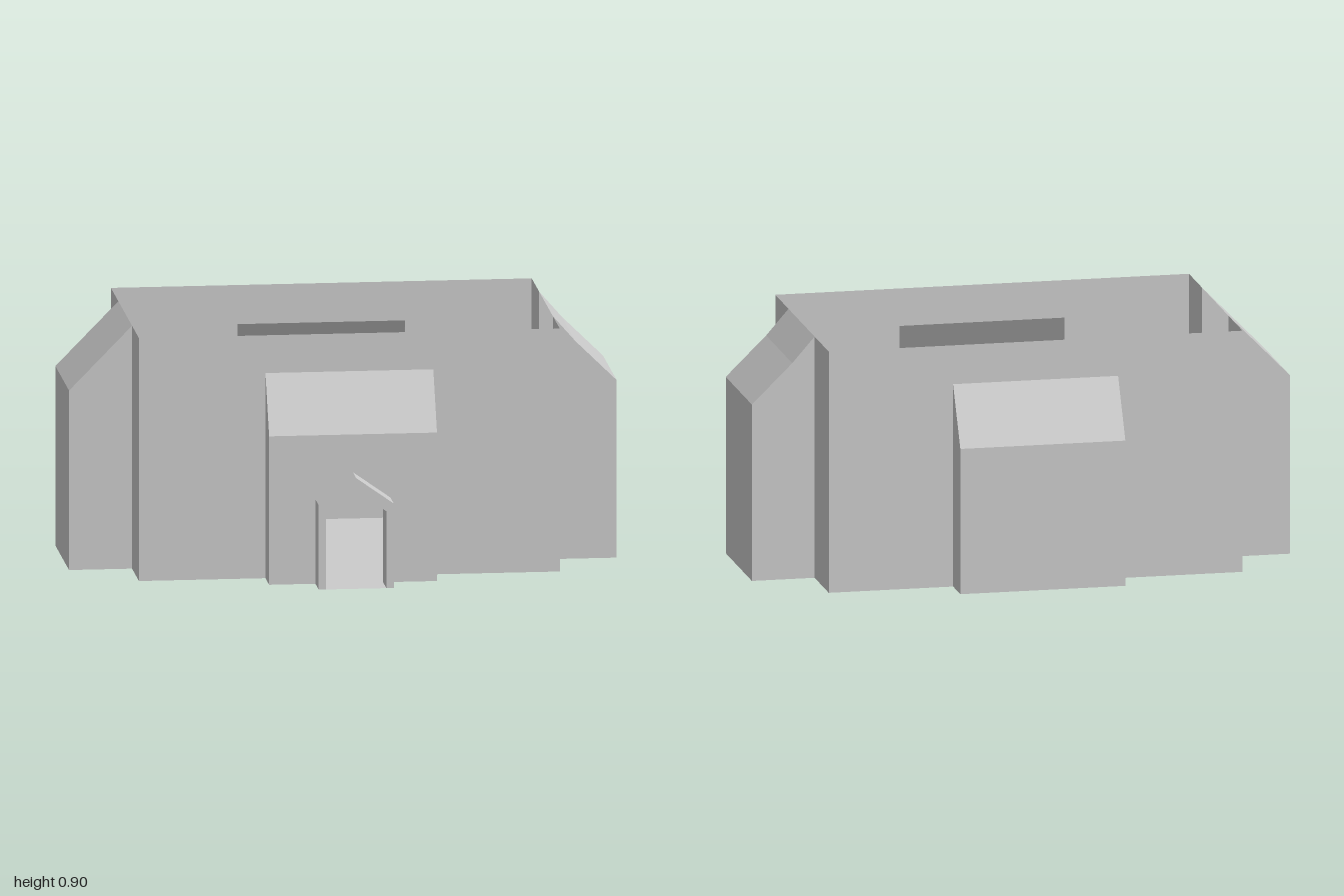
import * as THREE from 'three';

const material = new THREE.MeshStandardMaterial({
  color: 0xcccccc, flatShading: true, side: THREE.DoubleSide,
});

const shapeOf = (points) => new THREE.Shape(points.map(([u, v]) => new THREE.Vector2(u, v)));
const rect = (u0, u1, v0, v1) => [[u0, v0], [u1, v0], [u1, v1], [u0, v1]];
const gable = (halfWidth, eave, apex) =>
  [[-halfWidth, 0], [halfWidth, 0], [halfWidth, eave], [0, apex], [-halfWidth, eave]];

// Flat thin sheet drawn in (u, v), then placed in space by a mapping rule
function panel(name, outline, place, hole) {
  const shape = shapeOf(outline);
  if (hole) shape.holes.push(shapeOf(hole));
  const geometry = new THREE.ShapeGeometry(shape);
  const pos = geometry.attributes.position;
  for (let i = 0; i < pos.count; i++) pos.setXYZ(i, ...place(pos.getX(i), pos.getY(i)));
  geometry.computeVertexNormals();
  const mesh = new THREE.Mesh(geometry, material);
  mesh.name = name;
  return mesh;
}

// Hollow bay: place(along, depth, y); profile runs from the wall top out and down to the eave
function bay(name, a0, a1, profile, place, doorway) {
  const group = new THREE.Group();
  group.name = name;
  const inner = profile[0][0];
  const [outer, eave] = profile[profile.length - 1];
  const cheek = [[inner, 0], ...profile, [outer, 0]];
  for (const a of [a0, a1]) group.add(panel('bayCheek', cheek, (d, y) => place(a, d, y)));
  group.add(panel('bayWall', rect(a0, a1, 0, eave), (a, y) => place(a, outer, y), doorway));
  for (let i = 1; i < profile.length; i++) {
    const [d0, y0] = profile[i - 1], [d1, y1] = profile[i];
    group.add(panel('bayRoof', rect(a0, a1, 0, 1),
      (a, t) => place(a, d0 + (d1 - d0) * t, y0 + (y1 - y0) * t)));
  }
  return group;
}

export function createModel() {
  const model = new THREE.Group();
  model.name = 'roofless building';

  const H = 0.9;
  const L = -0.77, R = 0.767, B = -0.507, F = 0.403;   // main hall walls
  const bx0 = -0.308, bx1 = 0.305;                     // front and back bays
  const sz0 = -0.266, sz1 = 0.178;                     // side bays
  const frontZ = 0.523, backZ = -0.63, porchZ = 0.63;
  const door = gable(0.11, 0.285, 0.36).map(([x, y]) => [x - 0.002, y]);
  const porch = gable(0.137, 0.313, 0.41).map(([x, y]) => [x - 0.002, y]);

  // Floor follows the whole outline
  model.add(panel('floor', [
    [L, B], [bx0, B], [bx0, backZ], [bx1, backZ], [bx1, B], [R, B],
    [R, sz0], [1, sz0], [1, sz1], [R, sz1], [R, F],
    [bx1, F], [bx1, frontZ], [0.135, frontZ], [0.135, porchZ], [-0.139, porchZ],
    [-0.139, frontZ], [bx0, frontZ], [bx0, F], [L, F],
    [L, sz1], [-1, sz1], [-1, sz0], [L, sz0],
  ], (x, z) => [x, 0, z]));

  // Long walls, each open to its bay
  for (const [name, z, top] of [['frontWall', F, 0.76], ['backWall', B, 0.755]]) {
    model.add(panel(name, [
      [L, 0], [bx0, 0], [bx0, top], [bx1, top], [bx1, 0], [R, 0], [R, H], [L, H],
    ], (x, y) => [x, y, z]));
  }

  // Short walls stand on both sides of the full-height side bays
  for (const [name, x] of [['leftWall', R], ['rightWall', L]]) {
    for (const [z0, z1] of [[B, sz0], [sz1, F]]) {
      model.add(panel(name, rect(z0, z1, 0, H), (z, y) => [x, y, z]));
    }
  }

  // Four bays with sloped roofs
  const alongX = (x, z, y) => [x, y, z];
  const alongZ = (z, x, y) => [x, y, z];
  model.add(bay('frontBay', bx0, bx1, [[F, 0.76], [frontZ, 0.55]], alongX, door));
  model.add(bay('backBay', bx0, bx1, [[B, 0.755], [backZ, 0.542]], alongX));
  model.add(bay('leftBay', sz0, sz1, [[R, H], [0.85, 0.805], [1, 0.658]], alongZ));
  model.add(bay('rightBay', sz0, sz1, [[L, H], [-1, 0.665]], alongZ));

  // Pointed porch around the doorway
  const [p0, p1, ...pRoof] = porch, [d0, d1, ...dRoof] = door;
  const arch = shapeOf([p1, ...pRoof, p0, d0, ...dRoof.reverse(), d1]);
  const porchMesh = new THREE.Mesh(
    new THREE.ExtrudeGeometry(arch, { depth: porchZ - frontZ, bevelEnabled: false }), material);
  porchMesh.position.z = frontZ;
  porchMesh.name = 'porch';
  model.add(porchMesh);

  return model;
}
